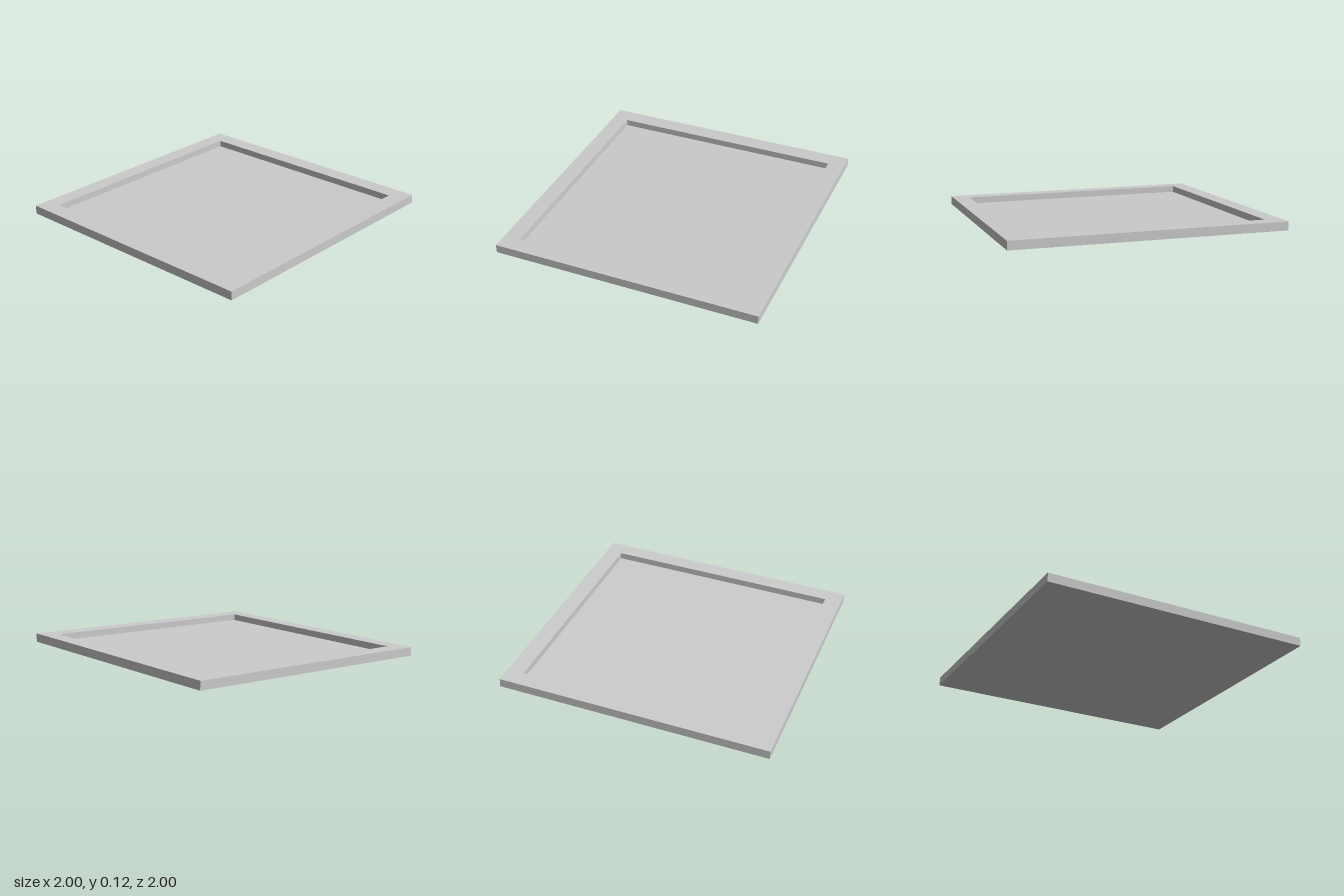
import * as THREE from 'three';

const HALF = 0.999;      // half of the outer side
const INNER = 0.875;     // half of the recess side
const THICK = 0.064;
const FLOOR = 0.015;     // thickness of the panel under the recess
const TILT = THREE.MathUtils.degToRad(1.5);

export function createModel() {
  const group = new THREE.Group();
  group.name = 'tiltedTray';

  // Square tray: a closed profile swept in four flat sides
  const profile = [
    [0, 0], [HALF, 0], [HALF, THICK], [INNER, THICK], [INNER, FLOOR], [0, FLOOR],
  ].map(([half, y]) => new THREE.Vector2(half * Math.SQRT2, y));
  const geometry = new THREE.LatheGeometry(profile, 4, Math.PI / 4).toNonIndexed();
  geometry.computeVertexNormals();

  const tray = new THREE.Mesh(
    geometry,
    new THREE.MeshStandardMaterial({ color: 0xcccccc, flatShading: true }),
  );
  tray.name = 'tray';

  // Lean so the right edge rests on the ground and the left edge is raised
  tray.rotation.z = TILT;
  tray.position.set(THICK / 2 * Math.sin(TILT), HALF * Math.sin(TILT), 0);
  group.add(tray);
  return group;
}
